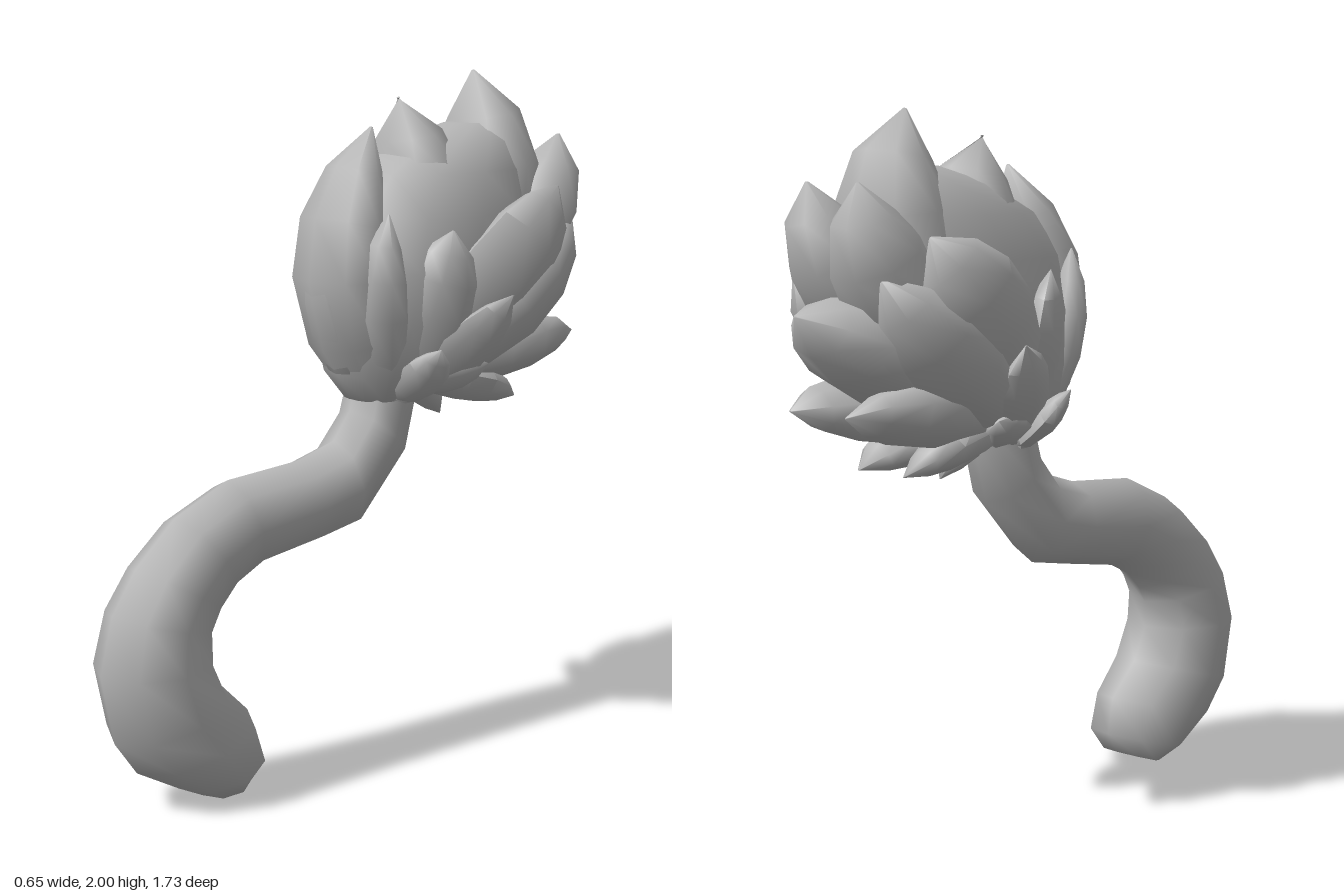
import * as THREE from 'three';
import { toCreasedNormals } from 'three/addons/utils/BufferGeometryUtils.js';

const V = (x, y, z) => new THREE.Vector3(x, y, z);

// Skin closed elliptical sections { c: centre, l: side half-axis, n: outward half-axis }
function loft(sections, sides, crease) {
  const pos = [], index = [];
  for (const { c, l, n } of sections) {
    for (let j = 0; j < sides; j++) {
      const a = (j / sides) * Math.PI * 2;
      const p = c.clone().addScaledVector(l, Math.cos(a)).addScaledVector(n, Math.sin(a));
      pos.push(p.x, p.y, p.z);
    }
  }
  const last = sections.length - 1;
  for (let i = 0; i < last; i++) {
    for (let j = 0; j < sides; j++) {
      const k = (j + 1) % sides;
      const a = i * sides + j, b = i * sides + k;
      index.push(a, b, a + sides, b, b + sides, a + sides);
    }
  }
  // End caps
  const first = pos.length / 3;
  for (const s of [sections[0], sections[last]]) pos.push(s.c.x, s.c.y, s.c.z);
  for (let j = 0; j < sides; j++) {
    const k = (j + 1) % sides;
    index.push(first, k, j, first + 1, last * sides + j, last * sides + k);
  }
  const geo = new THREE.BufferGeometry();
  geo.setAttribute('position', new THREE.Float32BufferAttribute(pos, 3));
  geo.setIndex(index);
  return toCreasedNormals(geo, crease);
}

// A symmetric body from rows of: outer z, outer y, inner z, inner y, half width
function spine(rows, sides) {
  return loft(rows.map(([oz, oy, iz, iy, w]) => ({
    c: V(0, (oy + iy) / 2, (oz + iz) / 2),
    l: V(-w, 0, 0),
    n: V(0, (oy - iy) / 2, (oz - iz) / 2),
  })), sides, 1.4);
}

// A pointed lock of fur, swelling near its root and bending through mid to its tip
const HEART = V(0, 1.4, -0.3);
function lock(root, mid, tip, width, thick) {
  const control = mid.clone().multiplyScalar(2).addScaledVector(root, -0.5).addScaledVector(tip, -0.5);
  const path = new THREE.QuadraticBezierCurve3(root, control, tip);
  const out = mid.clone().sub(HEART);
  const profile = [[0, 0.4], [0.22, 0.85], [0.45, 1], [0.65, 0.9], [0.83, 0.6], [1, 0.03]];
  return loft(profile.map(([t, r]) => {
    const tangent = path.getTangent(t);
    const l = out.clone().cross(tangent).normalize();
    const n = tangent.clone().cross(l).normalize();
    return { c: path.getPoint(t), l: l.multiplyScalar(width * r), n: n.multiplyScalar(thick * r) };
  }), 8, 1.2);
}

export function createModel() {
  const model = new THREE.Group();
  const grey = new THREE.MeshStandardMaterial({ color: 0xb4b4b4 });
  grey.name = 'soft grey';
  const add = (name, geo, parent = model) => {
    const mesh = new THREE.Mesh(geo, grey);
    mesh.name = name;
    parent.add(mesh);
  };

  // Curved stalk
  add('stalk', spine([
    [0.54, 0.0, 0.4, 0.045, 0.1],
    [0.62, 0.04, 0.36, 0.11, 0.15],
    [0.76, 0.12, 0.38, 0.22, 0.16],
    [0.83, 0.22, 0.48, 0.32, 0.168],
    [0.87, 0.42, 0.53, 0.42, 0.162],
    [0.83, 0.58, 0.53, 0.5, 0.146],
    [0.75, 0.7, 0.5, 0.55, 0.136],
    [0.62, 0.82, 0.45, 0.6, 0.126],
    [0.44, 0.9, 0.37, 0.64, 0.12],
    [0.19, 0.92, 0.16, 0.675, 0.118],
    [0.06, 0.96, 0.02, 0.7, 0.116],
    [0.0, 1.04, -0.17, 0.9, 0.11],
    [-0.02, 1.12, -0.22, 1.08, 0.105],
    [-0.06, 1.26, -0.24, 1.22, 0.1],
  ], 8));

  const tuft = new THREE.Group();
  tuft.name = 'tuft';
  model.add(tuft);

  // Full body that the locks grow from
  add('tuftBody', spine([
    [-0.01, 1.07, -0.2, 1.07, 0.1],
    [0.05, 1.15, -0.3, 1.15, 0.17],
    [0.09, 1.3, -0.52, 1.3, 0.23],
    [0.1, 1.45, -0.64, 1.45, 0.25],
    [0.06, 1.6, -0.67, 1.6, 0.23],
    [-0.03, 1.72, -0.67, 1.72, 0.19],
    [-0.19, 1.8, -0.63, 1.8, 0.14],
    [-0.37, 1.85, -0.58, 1.85, 0.07],
  ], 12), tuft);

  // Locks on the centre line: name, root, mid, tip, half width, half thickness
  const centre = [
    ['crownLock', V(0, 1.1, -0.22), V(0, 1.6, -0.5), V(0, 2, -0.47), 0.2, 0.16],
    ['upperFrontLock', V(0, 1.2, -0.12), V(0, 1.6, -0.24), V(0, 1.93, -0.18), 0.19, 0.14],
    ['frontLock', V(0, 1.07, -0.07), V(0, 1.47, 0.03), V(0, 1.85, -0.08), 0.17, 0.12],
    ['lowFrontLock', V(0, 1.08, -0.04), V(0, 1.3, 0.07), V(0, 1.54, 0.13), 0.08, 0.05],
    ['backLock', V(0, 1.18, -0.22), V(0, 1.35, -0.58), V(0, 1.47, -0.86), 0.2, 0.14],
    ['underLock', V(0, 1.18, -0.12), V(0, 1.1, -0.24), V(0, 0.99, -0.35), 0.08, 0.05],
  ];
  for (const [name, ...shape] of centre) add(name, lock(...shape), tuft);

  // Locks mirrored to both sides
  const paired = [
    ['upperBackLock', V(0.04, 1.2, -0.25), V(0.08, 1.53, -0.6), V(0.1, 1.81, -0.73), 0.15, 0.14],
    ['sideLock', V(0.08, 1.14, -0.12), V(0.22, 1.44, -0.4), V(0.23, 1.67, -0.6), 0.17, 0.1],
    ['rearSideLock', V(0.08, 1.14, -0.18), V(0.18, 1.34, -0.48), V(0.17, 1.57, -0.72), 0.15, 0.11],
    ['lowBackLock', V(0.03, 1.14, -0.18), V(0.1, 1.19, -0.5), V(0.11, 1.21, -0.79), 0.13, 0.09],
    ['lowestBackLock', V(0.03, 1.14, -0.16), V(0.08, 1.1, -0.36), V(0.09, 1.03, -0.57), 0.1, 0.06],
    ['frontSideLock', V(0.06, 1.08, -0.08), V(0.13, 1.36, 0.0), V(0.17, 1.62, 0.0), 0.09, 0.06],
    ['middleSideLock', V(0.08, 1.08, -0.1), V(0.19, 1.36, -0.15), V(0.25, 1.57, -0.17), 0.12, 0.06],
    ['shortSideLock', V(0.08, 1.1, -0.14), V(0.22, 1.23, -0.25), V(0.32, 1.38, -0.34), 0.1, 0.05],
    ['collarLock', V(0.07, 1.08, -0.1), V(0.18, 1.15, -0.12), V(0.27, 1.24, -0.11), 0.07, 0.04],
    ['lowCollarLock', V(0.06, 1.12, -0.12), V(0.15, 1.14, -0.24), V(0.22, 1.17, -0.34), 0.08, 0.05],
  ];
  for (const side of [1, -1]) {
    for (const [name, root, mid, tip, w, t] of paired) {
      const flip = (p) => V(p.x * side, p.y, p.z);
      add((side > 0 ? 'left ' : 'right ') + name, lock(flip(root), flip(mid), flip(tip), w, t), tuft);
    }
  }
  return model;
}
